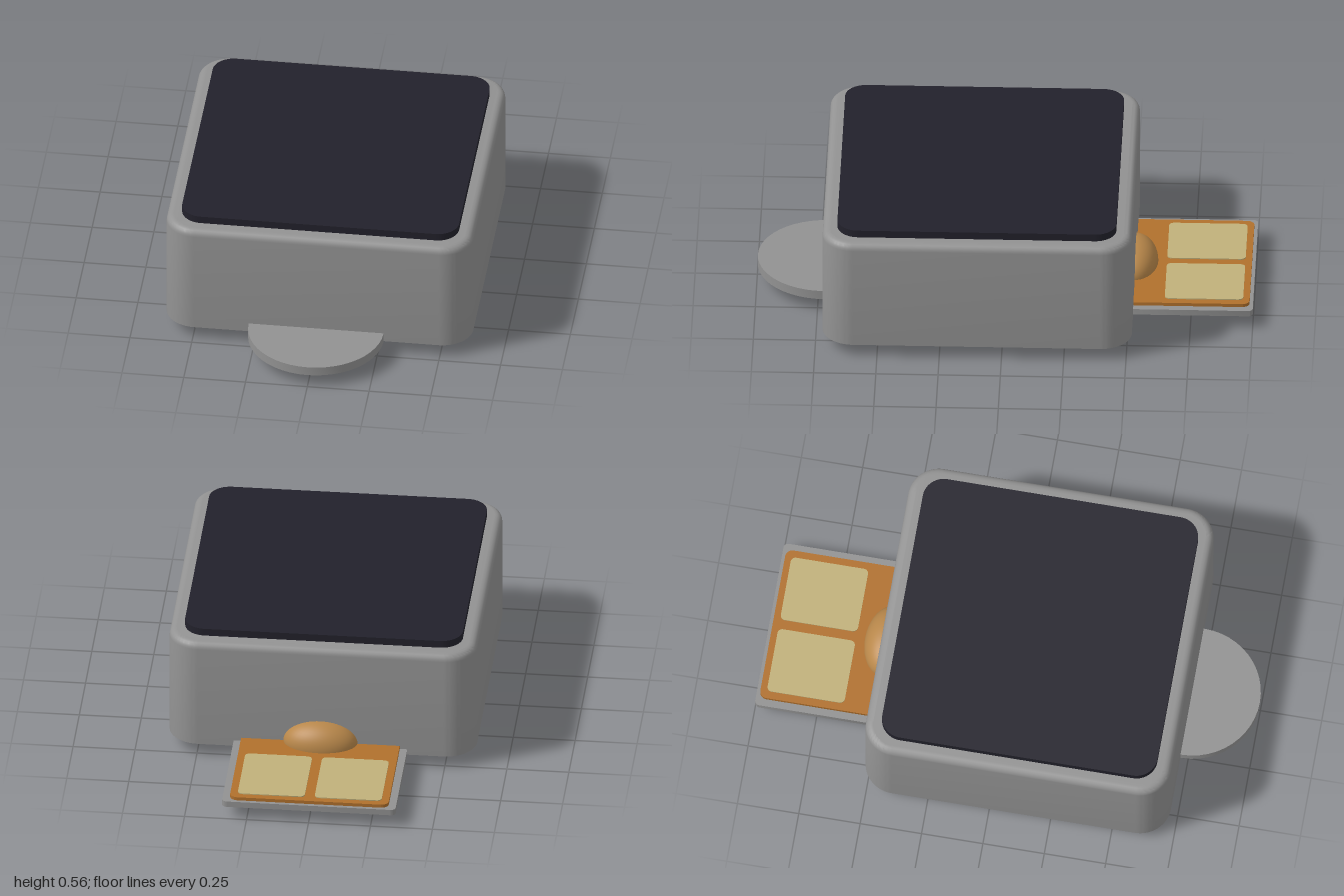
import * as THREE from 'three';
import { toCreasedNormals } from 'three/addons/utils/BufferGeometryUtils.js';

const material = (name, color) => {
  const m = new THREE.MeshStandardMaterial({ color });
  m.name = name;
  return m;
};

// Rounded rectangle outline; z is negated so that the extrusion can be turned upright
function roundedRect(x0, x1, z0, z1, r) {
  const b = -z1, t = -z0;
  const s = new THREE.Shape();
  s.moveTo(x0 + r, b);
  s.lineTo(x1 - r, b);
  s.absarc(x1 - r, b + r, r, -Math.PI / 2, 0, false);
  s.lineTo(x1, t - r);
  s.absarc(x1 - r, t - r, r, 0, Math.PI / 2, false);
  s.lineTo(x0 + r, t);
  s.absarc(x0 + r, t - r, r, Math.PI / 2, Math.PI, false);
  s.lineTo(x0, b + r);
  s.absarc(x0 + r, b + r, r, Math.PI, Math.PI * 1.5, false);
  return s;
}

// Upright slab from y0 to y1, with an optional rounded top edge and a sharp, flat base
function slab(shape, y0, y1, bevel = 0) {
  const geo = new THREE.ExtrudeGeometry(shape, {
    depth: y1 - y0 - bevel, curveSegments: 12,
    bevelEnabled: bevel > 0, bevelSize: bevel, bevelThickness: bevel,
    bevelOffset: -bevel, bevelSegments: 5,
  });
  const p = geo.attributes.position;
  for (let i = 0; i < p.count; i++) p.setZ(i, Math.max(0, p.getZ(i)));
  geo.rotateX(-Math.PI / 2).translate(0, y0, 0);
  return toCreasedNormals(geo, 0.6);
}

export function createModel() {
  const group = new THREE.Group();
  group.name = 'device';
  const grey = material('grey casing', 0x929292);
  const dark = material('dark glass', 0x22212b);
  const copper = material('copper', 0xb0702c);
  const bronze = material('bronze', 0xb8874a);
  const gold = material('pale gold', 0xc0b07a);

  const add = (name, geo, mat) => {
    const mesh = new THREE.Mesh(geo, mat);
    mesh.name = name;
    group.add(mesh);
    return mesh;
  };

  // Casing and top panel
  add('casing', slab(roundedRect(-0.62, 0.62, -0.52, 0.722, 0.125), 0.055, 0.525, 0.03), grey);
  add('topPanel', slab(roundedRect(-0.56, 0.56, -0.457, 0.663, 0.085), 0.52, 0.556), dark);

  // Half-round tab at the front
  const tab = new THREE.Shape();
  tab.absarc(0, -0.725, 0.273, Math.PI, Math.PI * 2, false);
  tab.lineTo(0.273, -0.68);
  tab.lineTo(-0.273, -0.68);
  add('frontTab', slab(tab, 0.055, 0.093), grey);

  // Connector tongue at the back, with its copper board and two contacts
  add('tongue', slab(roundedRect(-0.35, 0.35, -1, -0.45, 0.02), 0.055, 0.08), grey);
  add('contactBoard', slab(roundedRect(-0.32, 0.32, -0.986, -0.45, 0.03), 0.078, 0.094), copper);
  for (const [name, x] of [['leftContact', 0.155], ['rightContact', -0.155]]) {
    add(name, slab(roundedRect(x - 0.135, x + 0.135, -0.96, -0.645, 0.02), 0.092, 0.098), gold);
  }

  // Flattened ball passing through the tongue
  const ball = add('ball', new THREE.SphereGeometry(1, 40, 28), bronze);
  ball.scale.set(0.15, 0.095, 0.095);
  ball.position.set(0, 0.095, -0.515);

  return group;
}
